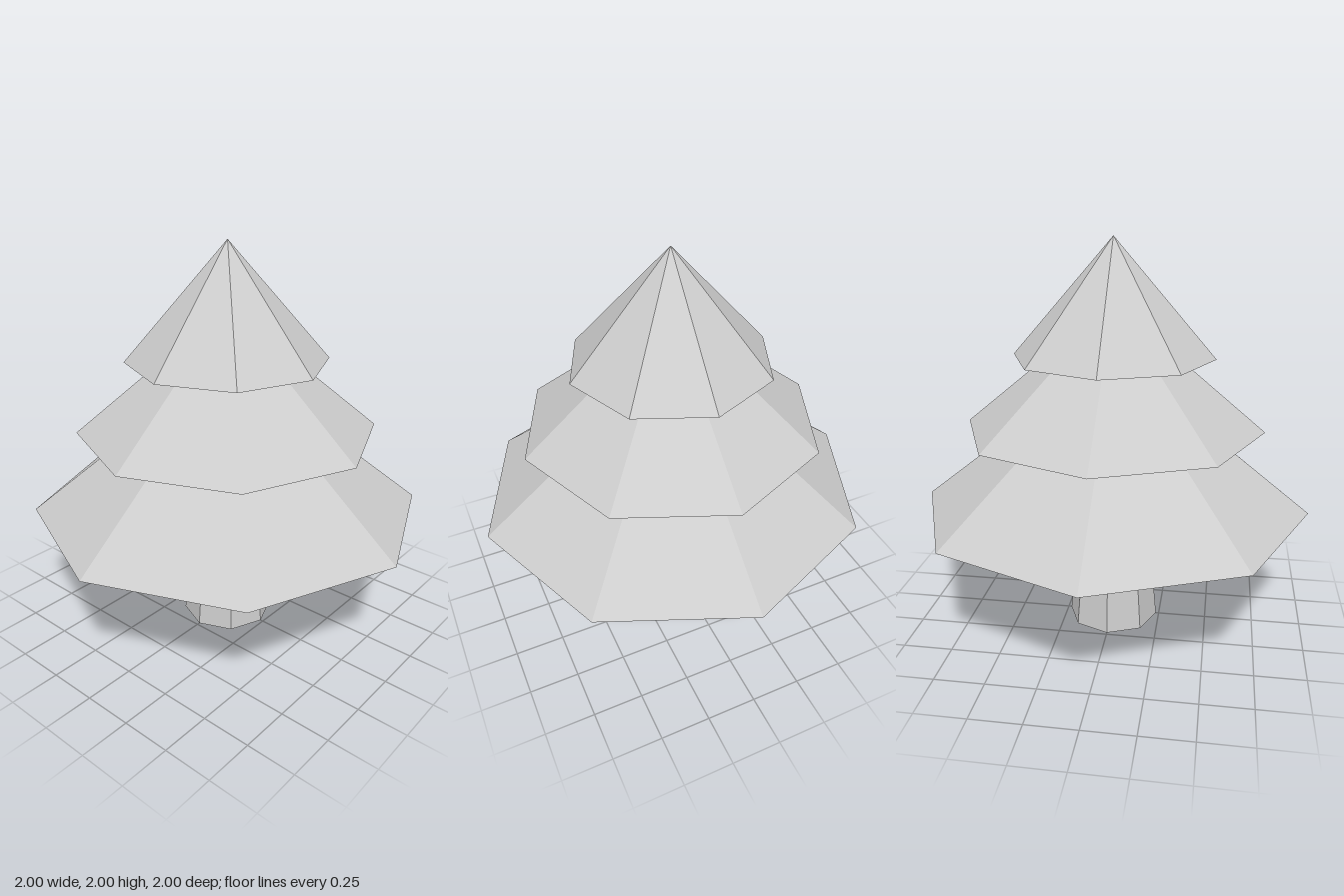
import * as THREE from 'three';

export function createModel() {
  const tree = new THREE.Group();
  tree.name = 'pineTree';
  const lightGrey = new THREE.MeshStandardMaterial({ color: 0xcccccc, flatShading: true, side: THREE.DoubleSide });
  lightGrey.name = 'light grey';

  // Open eight-sided shell from a bottom ring up to a top ring or a point
  function shell(name, bottomRadius, topRadius, bottomY, topY) {
    const height = topY - bottomY;
    const geometry = topRadius > 0
      ? new THREE.CylinderGeometry(topRadius, bottomRadius, height, 8, 1, true)
      : new THREE.ConeGeometry(bottomRadius, height, 8, 1, true);
    geometry.translate(0, bottomY + height / 2, 0);
    const mesh = new THREE.Mesh(geometry, lightGrey);
    mesh.name = name;
    tree.add(mesh);
  }

  // Tapered trunk reaching up inside the lowest branches
  shell('trunk', 0.235, 0.145, 0, 1.0);

  // Three overlapping hollow tiers of branches
  shell('lowerBranches', 1.0, 0, 0.64, 1.43);
  shell('middleBranches', 0.76, 0, 1.06, 1.69);
  shell('topBranches', 0.507, 0, 1.42, 2.0);

  return tree;
}
